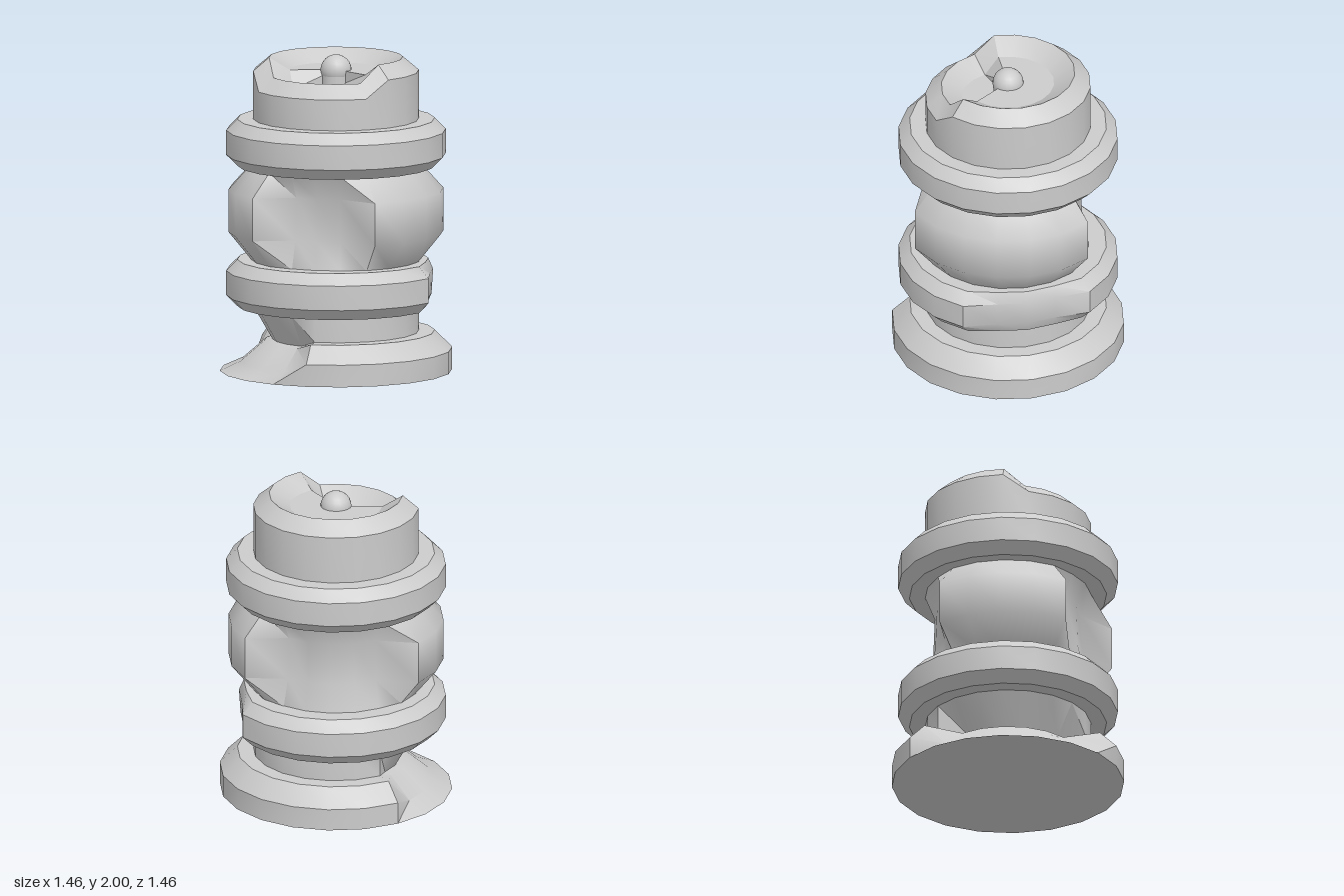
import * as THREE from 'three';
import { toCreasedNormals } from 'three/addons/utils/BufferGeometryUtils.js';

const SIDES = 20;
const material = new THREE.MeshStandardMaterial({ color: 0xcccccc });

// Turned solid with 20 sides; spokes for which isChipped(k) is true use the chipped profile.
// Spoke k points at k * 18 degrees, from +x towards +z. flipRow splits one row along the other diagonal.
function turned(name, profile, { chipped, isChipped = () => false, crease = 0.6, flipRow = -1 } = {}) {
  const point = (i, j) => {
    const k = j % SIDES;
    const [r, y] = (isChipped(k) ? chipped : profile)[i];
    const a = (k / SIDES) * Math.PI * 2;
    return new THREE.Vector3(r * Math.cos(a), y, r * Math.sin(a));
  };
  const positions = [];
  const face = (...corners) => {
    if (new THREE.Triangle(...corners).getArea() < 1e-7) return;
    corners.forEach((p) => positions.push(p.x, p.y, p.z));
  };
  for (let i = 0; i < profile.length - 1; i++) {
    for (let j = 0; j < SIDES; j++) {
      const quad = [point(i, j), point(i + 1, j), point(i + 1, j + 1), point(i, j + 1)];
      if (i === flipRow) quad.push(quad.shift());
      const [a, b, c, d] = quad;
      face(a, b, c);
      face(a, c, d);
    }
  }
  const geometry = new THREE.BufferGeometry();
  geometry.setAttribute('position', new THREE.Float32BufferAttribute(positions, 3));
  const mesh = new THREE.Mesh(toCreasedNormals(geometry, crease), material);
  mesh.name = name;
  return mesh;
}

// Bevelled collar between y0 and y0 + 0.3
const collar = (y0, r) => [
  [0, y0], [r - 0.07, y0], [r, y0 + 0.07], [r, y0 + 0.225], [r - 0.07, y0 + 0.295], [0, y0 + 0.295],
];

export function createModel() {
  const group = new THREE.Group();

  // Foot and neck, with a large piece broken away at the front and -x side
  group.add(turned('base',
    [[0, 0], [0.73, 0], [0.73, 0.14], [0.62, 0.25], [0.52, 0.25], [0.52, 0.41], [0, 0.41]],
    {
      chipped: [[0, 0], [0.73, 0], [0.6, 0.06], [0.45, 0.19], [0.4, 0.2], [0.52, 0.41], [0, 0.41]],
      isChipped: (k) => k >= 6 && k <= 11,
      flipRow: 1,
    }));

  // Lower collar, chipped on the +x side
  group.add(turned('lowerCollar', collar(0.41, 0.69), {
    chipped: [[0, 0.41], [0.57, 0.41], [0.6, 0.48], [0.61, 0.635], [0.58, 0.705], [0, 0.705]],
    isChipped: (k) => k === 0 || k >= 18,
  }));

  // Bulging middle, hollowed at the front and the back; its ends sit on the collars
  group.add(turned('bulge', [[0.53, 0.7], [0.675, 0.88], [0.675, 1.15], [0.54, 1.3]], {
    chipped: [[0.51, 0.7], [0.47, 0.88], [0.46, 1.15], [0.52, 1.3]],
    isChipped: (k) => (k >= 4 && k <= 6) || (k >= 12 && k <= 16),
    crease: 1,
  }));

  // Upper collar
  group.add(turned('upperCollar', collar(1.3, 0.69)));

  // Dished head; the front of the rim and floor sits lower
  const head = [[0, 1.59], [0.52, 1.59], [0.52, 1.9], [0.42, 1.985], [0.29, 1.905], [0, 1.905]];
  group.add(turned('head', head, {
    chipped: head.map(([r, y], i) => [r, i < 2 ? y : y - 0.11]),
    isChipped: (k) => k >= 3 && k <= 8,
    crease: 0.45,
  }));

  // Round-topped pin in the dish
  const pin = new THREE.Group();
  pin.name = 'pin';
  const post = new THREE.Mesh(new THREE.CylinderGeometry(0.092, 0.092, 0.16, 20), material);
  post.name = 'pinPost';
  post.position.y = 1.83;
  const knob = new THREE.Mesh(new THREE.SphereGeometry(0.098, 20, 12), material);
  knob.name = 'pinKnob';
  knob.position.y = 1.902;
  pin.add(post, knob);
  group.add(pin);

  return group;
}
